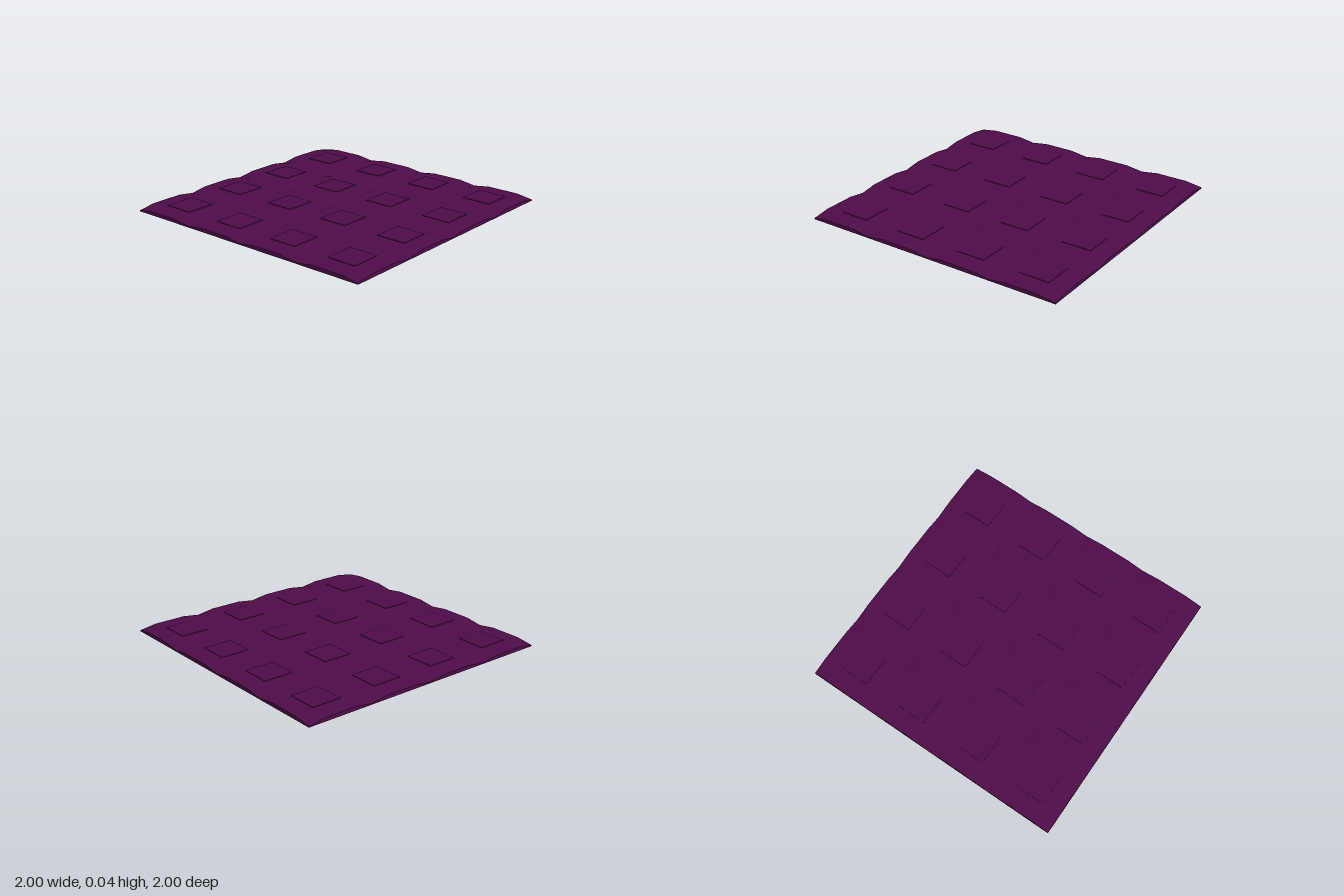
import * as THREE from 'three';

const TILES = 4;
const SIZE = 2 / TILES;
const STEPS = [0, 0.13, 0.37, 0.5]; // grid lines across one quilted tile
const CORNER = 0.008, SEAM = 0.027, CROWN = 0.036, PATCH = 0.04;

const material = new THREE.MeshStandardMaterial({ color: 0x4e0c48, roughness: 0.9 });

function add(group, name, geometry) {
  const mesh = new THREE.Mesh(geometry, material);
  mesh.name = name;
  group.add(mesh);
  return mesh;
}

// Soft pillow: pinched corners, sagging seams, raised middle
function pillowGeometry() {
  const geo = new THREE.PlaneGeometry(3, 3, 3, 3).rotateX(-Math.PI / 2);
  const p = geo.attributes.position;
  for (let i = 0; i < p.count; i++) {
    const a = Math.round(p.getX(i) + 1.5), b = Math.round(p.getZ(i) + 1.5);
    const rims = (a % 3 === 0) + (b % 3 === 0);
    p.setXYZ(i, STEPS[a] - SIZE / 2, [CROWN, SEAM, CORNER][rims], STEPS[b] - SIZE / 2);
  }
  geo.computeVertexNormals();
  return geo;
}

// Scalloped side wall following the pillow rims
function wallGeometry() {
  const shape = new THREE.Shape();
  shape.moveTo(-1, 0);
  shape.lineTo(1, 0);
  for (let t = TILES - 1; t >= 0; t--) {
    for (let s = 3; s >= 0; s--) {
      if (s === 3 && t < TILES - 1) continue;
      shape.lineTo(-1 + t * SIZE + STEPS[s], s % 3 === 0 ? CORNER : SEAM);
    }
  }
  return new THREE.ShapeGeometry(shape);
}

export function createModel() {
  const group = new THREE.Group();
  group.name = 'quiltedMat';

  // Grid of pillows, each with a thin square patch on top
  const pillow = pillowGeometry();
  const patch = new THREE.BoxGeometry(0.22, PATCH - CROWN + 0.002, 0.22);
  for (let i = 0; i < TILES; i++) {
    for (let j = 0; j < TILES; j++) {
      const x = -1 + (i + 0.5) * SIZE, z = -1 + (j + 0.5) * SIZE;
      add(group, 'pillow', pillow).position.set(x, 0, z);
      add(group, 'squarePatch', patch).position.set(x, (PATCH + CROWN - 0.002) / 2, z);
    }
  }

  // Four side walls
  const wall = wallGeometry();
  for (let k = 0; k < 4; k++) {
    const angle = (k * Math.PI) / 2;
    const side = add(group, 'sideWall', wall);
    side.rotation.y = angle;
    side.position.set(Math.sin(angle), 0, Math.cos(angle));
  }

  // Flat underside
  add(group, 'underside', new THREE.PlaneGeometry(2, 2).rotateX(Math.PI / 2));
  return group;
}
